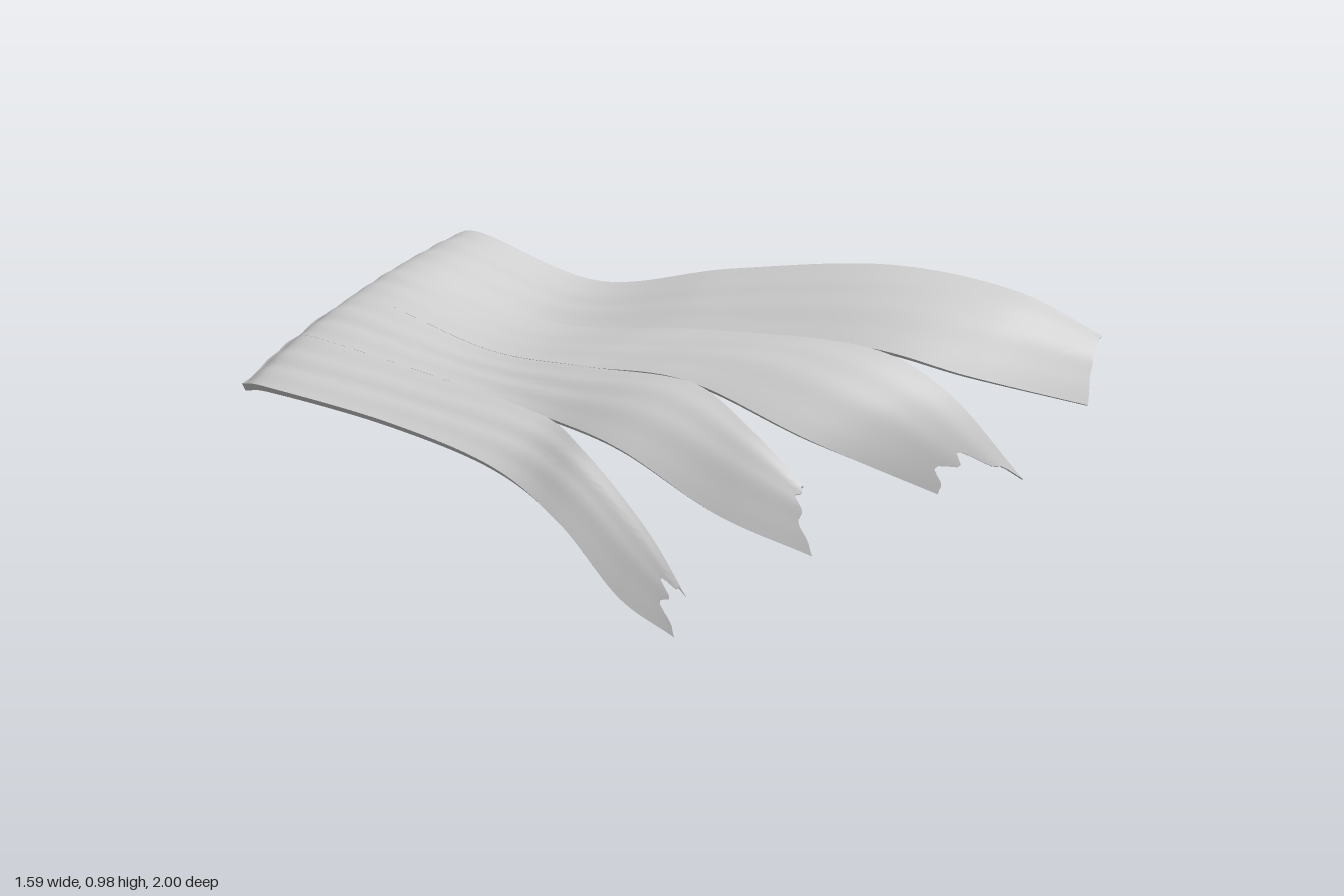
import * as THREE from 'three';
import { toCreasedNormals } from 'three/addons/utils/BufferGeometryUtils.js';

const ROWS = 72, COLS = 20, HALF = 0.013;

// Edge k (0 back .. 4 front) starts on the sloping root, rises over a low crest,
// then runs on through its own points
function edge(k, ...points) {
  const y = 0.87 - 0.0148 * k * k, z = 0.215 + 0.194 * k;
  const root = [[-0.78, y, z], [-0.685, y + 0.1 * 0.55 ** k, z - 0.015]];
  const list = [...root, ...points].map((p) => new THREE.Vector3(...p));
  return new THREE.CatmullRomCurve3(list, false, 'catmullrom', 0.5);
}

// Seams shared by neighbouring strands up to where they part
const seam1 = [[-.38, .76, .17], [0, .78, -.06], [.41, .77, -.34]];
const seam2 = [[-.38, .72, .41], [-.12, .7, .26], [.16, .69, .1]];
const seam3 = [[-.38, .66, .57], [-.12, .585, .42]];

const backStrand = {
  back: edge(0, [-.4, .843, -.03], [-.1, .9, -.28], [.26, .939, -.57], [.54, .88, -.81], [.71, .75, -.995]),
  front: edge(1, ...seam1, [.63, .69, -.56], [.785, .58, -.88]),
  tear: 0.004,
};
const middleBackStrand = {
  back: edge(1, ...seam1, [.61, .655, -.49], [.78, .4, -.64]),
  front: edge(2, ...seam2, [.47, .55, -.09], [.66, .37, -.42]),
  tear: 0.05,
};
const middleFrontStrand = {
  back: edge(2, ...seam2, [.38, .58, .045], [.52, .43, -.03]),
  front: edge(3, ...seam3, [.14, .525, .34], [.39, .36, .19], [.585, .24, -.01]),
  tear: 0.03,
};
const frontStrand = {
  back: edge(3, ...seam3, [.08, .515, .42], [.26, .315, .345], [.365, .12, .28]),
  front: edge(4, [-.4, .565, .77], [-.12, .465, .61], [.1, .335, .54], [.25, .125, .44], [.345, .003, .31]),
  tear: 0.08,
};

// Point on a strand's middle surface: s runs back to front, v root to tip
function surfacePoint({ back, front, tear }, s, v) {
  const arch = Math.sin(Math.PI * s);
  // ragged tip
  const t = v - tear * arch * (0.72 + 0.28 * Math.sin(s * 19)) * v ** 8;
  const p = back.getPoint(t).lerp(front.getPoint(t), s);
  // crown across the width, growing to the tip, plus fine lengthwise grooves
  p.y += arch * (0.003 + 0.034 * THREE.MathUtils.smoothstep(t, 0.35, 0.9));
  p.y += 0.002 * arch * Math.sin(s * 17 + t * 5);
  // wrinkled root edge
  p.x += 0.004 * (Math.sin(p.z * 42) + Math.sin(p.z * 67)) * (1 - t) ** 30;
  return p;
}

// Thin closed shell around the middle surface
function strandGeometry(strand) {
  const pos = [], idx = [], ring = 2 * (COLS + 1), e = 1e-3;
  for (let r = 0; r <= ROWS; r++) {
    const v = r / ROWS, top = [], under = [];
    for (let c = 0; c <= COLS; c++) {
      const s = c / COLS;
      const p = surfacePoint(strand, s, v);
      const ds = surfacePoint(strand, Math.min(s + e, 1), v).sub(surfacePoint(strand, Math.max(s - e, 0), v));
      const dv = surfacePoint(strand, s, Math.min(v + e, 1)).sub(surfacePoint(strand, s, Math.max(v - e, 0)));
      const n = ds.cross(dv).normalize().multiplyScalar(HALF * (1 - 0.55 * v));
      top.push(p.clone().add(n));
      under.unshift(p.clone().sub(n));
    }
    for (const p of [...top, ...under]) pos.push(p.x, p.y, p.z);
  }
  for (let r = 0; r < ROWS; r++) {
    for (let c = 0; c < ring; c++) {
      const a = r * ring + c, b = r * ring + (c + 1) % ring;
      idx.push(a, b, a + ring, b, b + ring, a + ring);
    }
  }
  // root and tip closures
  const last = ROWS * ring;
  for (let c = 0; c < COLS; c++) {
    const d = ring - 1 - c;
    idx.push(c, d, c + 1, c + 1, d, d - 1);
    idx.push(last + c, last + c + 1, last + d, last + c + 1, last + d - 1, last + d);
  }
  const geo = new THREE.BufferGeometry();
  geo.setAttribute('position', new THREE.Float32BufferAttribute(pos, 3));
  geo.setIndex(idx);
  return toCreasedNormals(geo, 0.9);
}

export function createModel() {
  const group = new THREE.Group();
  group.name = 'sweptStrands';
  const material = new THREE.MeshStandardMaterial({ color: 0xcccccc });
  const strands = { backStrand, middleBackStrand, middleFrontStrand, frontStrand };
  for (const [name, strand] of Object.entries(strands)) {
    const mesh = new THREE.Mesh(strandGeometry(strand), material);
    mesh.name = name;
    group.add(mesh);
  }
  return group;
}
